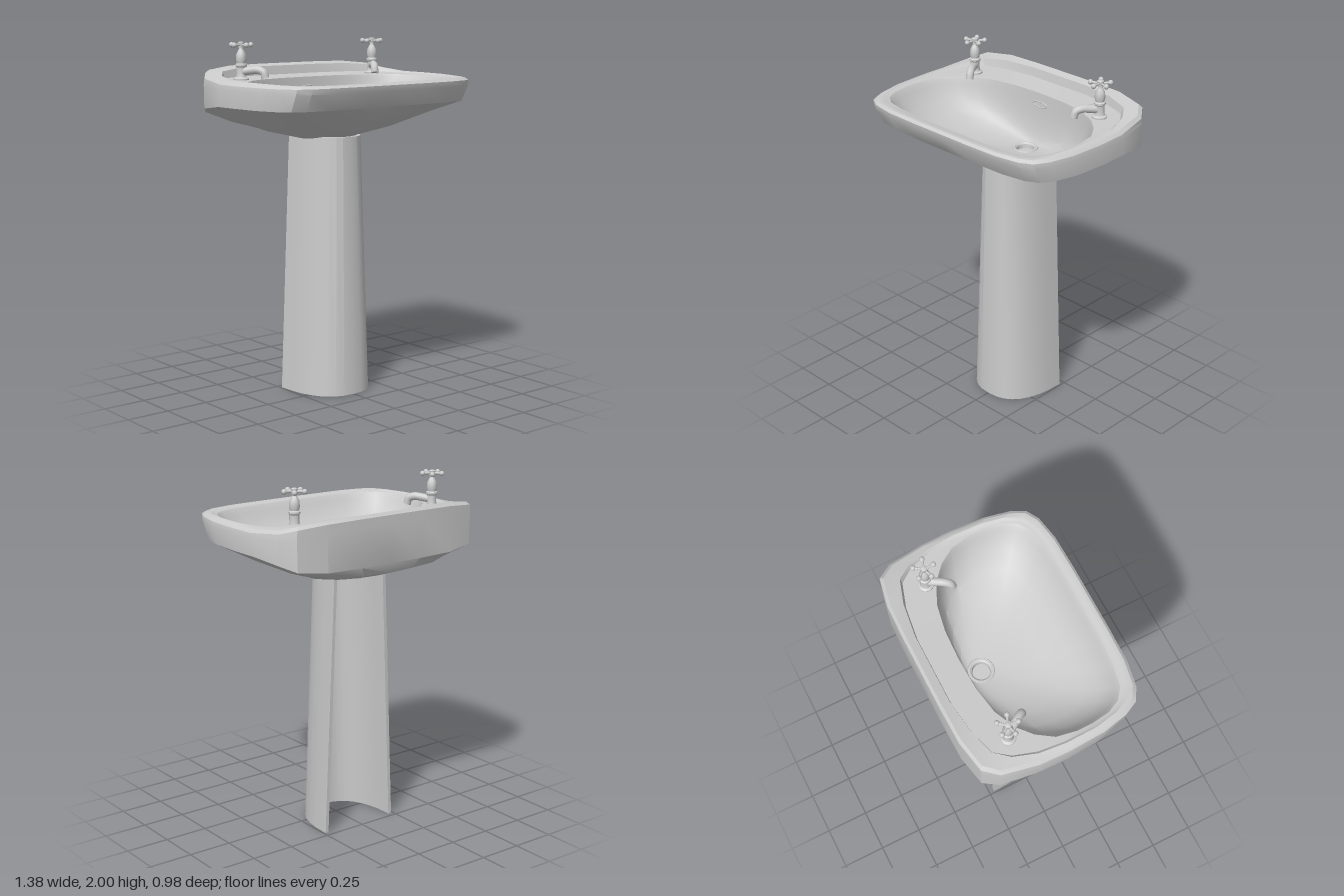
import * as THREE from 'three';
import { toCreasedNormals } from 'three/addons/utils/BufferGeometryUtils.js';

const material = new THREE.MeshStandardMaterial({ color: 0xcccccc });
const openMaterial = new THREE.MeshStandardMaterial({ color: 0xcccccc, side: THREE.DoubleSide });
const mix = THREE.MathUtils.lerp;

function mesh(name, geometry, parent, mat = material) {
  const m = new THREE.Mesh(geometry, mat);
  m.name = name;
  parent.add(m);
  return m;
}

// Skin a stack of closed rings, each a list of [x, y, z]
function loft(rings, crease) {
  const n = rings[0].length, index = [];
  for (let j = 0; j < rings.length - 1; j++) {
    for (let i = 0; i < n; i++) {
      const a = j * n + i, b = j * n + (i + 1) % n, c = b + n, d = a + n;
      index.push(a, d, c, a, c, b);
    }
  }
  const g = new THREE.BufferGeometry();
  g.setAttribute('position', new THREE.Float32BufferAttribute(rings.flat(2), 3));
  g.setIndex(index);
  return toCreasedNormals(g, crease);
}

// Right half outlines [x, z] from back centre to front centre
const OUTER = [[0, -.49], [.2, -.49], [.42, -.485], [.59, -.45], [.65, -.37], [.685, -.17], [.69, 0],
  [.68, .2], [.65, .34], [.61, .42], [.54, .46], [.4, .485], [.2, .49], [0, .49]];
const DECK = [[0, -.43], [.2, -.43], [.39, -.405], [.53, -.36], [.59, -.28], [.63, -.15], [.645, 0],
  [.64, .17], [.615, .3], [.575, .38], [.51, .42], [.38, .445], [.2, .45], [0, .45]];
const BOWL = [[0, -.28], [.18, -.272], [.33, -.245], [.45, -.19], [.53, -.12], [.59, -.03], [.61, .08],
  [.61, .17], [.595, .27], [.56, .34], [.5, .385], [.38, .41], [.2, .42], [0, .42]];
const DRAIN_Z = -.16;

const mirrorRing = half => [...half, ...half.slice(1, -1).reverse().map(([x, y, z]) => [-x, y, z])];

// Height around a ring, rising or falling from the sides to back and front
function ringHeight(z, back, side, front) {
  const u = z / .49;
  return u < 0 ? mix(side, back, u ** 4) : mix(side, front, u * u);
}

// Outer shell ring: half width, back z, front z, heights and roundness
function shellRing([w, zb, zf, back, side, front, round]) {
  return mirrorRing(OUTER.map(([x, z]) => {
    const a = Math.atan2(x / .69, -z / .49);
    const ex = mix(x / .69, Math.sin(a), round);
    const ez = mix(z / .49, -Math.cos(a), round);
    return [ex * w, ringHeight(z, back, side, front), mix(zb, zf, (ez + 1) / 2)];
  }));
}

function deckRing(scale, back, side, front) {
  return mirrorRing(DECK.map(([x, z], i) =>
    [x * scale, ringHeight(OUTER[i][1], back, side, front), z * scale]));
}

// Bowl ring blended between the drain circle (0) and the bowl mouth (1)
function bowlRing([s, y]) {
  return mirrorRing(BOWL.map(([x, z], i) => {
    const a = Math.PI * i / (BOWL.length - 1);
    return [mix(.07 * Math.sin(a), x, s), y, mix(DRAIN_Z - .07 * Math.cos(a), z, s)];
  }));
}

function createBasin() {
  const basin = new THREE.Group();
  basin.name = 'basin';
  const shell = [
    [0, -.12, -.12, 1.46, 1.46, 1.46, 1],
    [.17, -.24, .02, 1.46, 1.46, 1.462, 1],
    [.37, -.37, .2, 1.495, 1.505, 1.525, .8],
    [.57, -.465, .35, 1.53, 1.595, 1.61, .4],
    [.685, -.488, .435, 1.585, 1.66, 1.665, 0],
    [.69, -.49, .485, 1.8, 1.755, 1.755, 0],
    [.685, -.49, .49, 1.845, 1.78, 1.785, 0],
    [.667, -.475, .475, 1.862, 1.797, 1.797, 0],
  ].map(shellRing);
  const deck = [deckRing(1, 1.85, 1.803, 1.797), deckRing(.98, 1.8, 1.793, 1.793)];
  const bowl = [[1, 1.79], [.985, 1.78], [.96, 1.755], [.92, 1.72], [.85, 1.67], [.72, 1.61],
    [.5, 1.555], [.25, 1.518], [0, 1.5]].map(bowlRing);
  mesh('basinShell', loft([...shell, ...deck, ...bowl], .5), basin);

  // Waste outlet in the bowl and its nut underneath
  const waste = [[.073, 1.5], [.07, 1.506], [.06, 1.506], [.05, 1.498], [.047, 1.475], [0, 1.475]];
  mesh('waste', toCreasedNormals(new THREE.LatheGeometry(
    waste.map(([r, y]) => new THREE.Vector2(r, y)), 24), .6), basin, openMaterial).position.z = DRAIN_Z;
  mesh('wasteNut', new THREE.CylinderGeometry(.05, .05, .02, 24), basin).position.set(0, 1.455, DRAIN_Z);

  // Overflow slot in the back wall
  const slot = mesh('overflow', new THREE.TorusGeometry(.04, .007, 8, 24), basin);
  slot.scale.set(1.2, .4, .6);
  slot.position.set(0, 1.725, -.275);
  return basin;
}

// Pedestal: tapering U-shaped shell, open at the back
function createPedestal() {
  const section = (w, front, y, isEdge) => {
    const line = inset => Array.from({ length: 17 }, (_, i) => {
      const a = Math.PI * i / 16, c = Math.cos(a);
      return [(w - inset) * Math.sign(c) * Math.abs(c) ** .8, y,
        -.22 + (front + .22 - inset) * Math.sin(a) ** .8];
    });
    const outer = isEdge ? line(.01) : line(0), inner = isEdge ? line(.01) : line(.02);
    return [...outer, ...inner.reverse()];
  };
  return loft([section(.24, .145, 0, true), section(.24, .145, 0), section(.178, .112, 1.475),
    section(.178, .112, 1.475, true)], .3);
}

function createTap(name) {
  const tap = new THREE.Group();
  tap.name = name;
  const body = [[0, 0], [.042, 0], [.042, .008], [.03, .016], [.026, .03], [.026, .07], [.032, .076],
    [.032, .086], [.024, .092], [.029, .112], [.026, .142], [.016, .162], [.011, .17], [.011, .185], [0, .185]];
  mesh('tapBody', toCreasedNormals(new THREE.LatheGeometry(
    body.map(([r, y]) => new THREE.Vector2(r, y)), 16), .7), tap);

  // Spout with a closing disc at its mouth
  const path = new THREE.CatmullRomCurve3([[0, .045, 0], [.05, .052, 0], [.1, .056, 0], [.132, .043, 0], [.142, .012, 0]]
    .map(([z, y]) => new THREE.Vector3(0, y, z)));
  mesh('spout', new THREE.TubeGeometry(path, 14, .022, 12), tap, openMaterial);
  const mouth = mesh('spoutMouth', new THREE.CircleGeometry(.022, 12), tap, openMaterial);
  mouth.position.copy(path.getPoint(.98));
  mouth.lookAt(mouth.position.clone().add(path.getTangent(1)));

  // Five-armed handle with ball ends
  const handle = new THREE.Group();
  handle.name = 'tapHandle';
  handle.position.y = .192;
  tap.add(handle);
  mesh('handleHub', new THREE.CylinderGeometry(.019, .016, .026, 14), handle);
  const cap = mesh('handleCap', new THREE.SphereGeometry(.016, 14, 8), handle);
  cap.scale.y = .4;
  cap.position.y = .012;
  for (let i = 0; i < 5; i++) {
    const arm = new THREE.Group();
    arm.name = 'handleArm';
    arm.rotation.y = i * Math.PI * 2 / 5 + .3;
    const rod = mesh('armRod', new THREE.CylinderGeometry(.008, .006, .045, 8), arm);
    rod.rotation.z = -Math.PI / 2;
    rod.position.x = .034;
    mesh('armBall', new THREE.SphereGeometry(.0145, 10, 8), arm).position.x = .056;
    handle.add(arm);
  }
  return tap;
}

export function createModel() {
  const model = new THREE.Group();
  model.name = 'pedestalWashbasin';
  model.add(createBasin());
  mesh('pedestal', createPedestal(), model);
  for (const [name, x, turn] of [['leftTap', .458, -.58], ['rightTap', -.484, .58]]) {
    const tap = createTap(name);
    tap.position.set(x, 1.793, -.247);
    tap.rotation.y = turn;
    model.add(tap);
  }
  return model;
}
